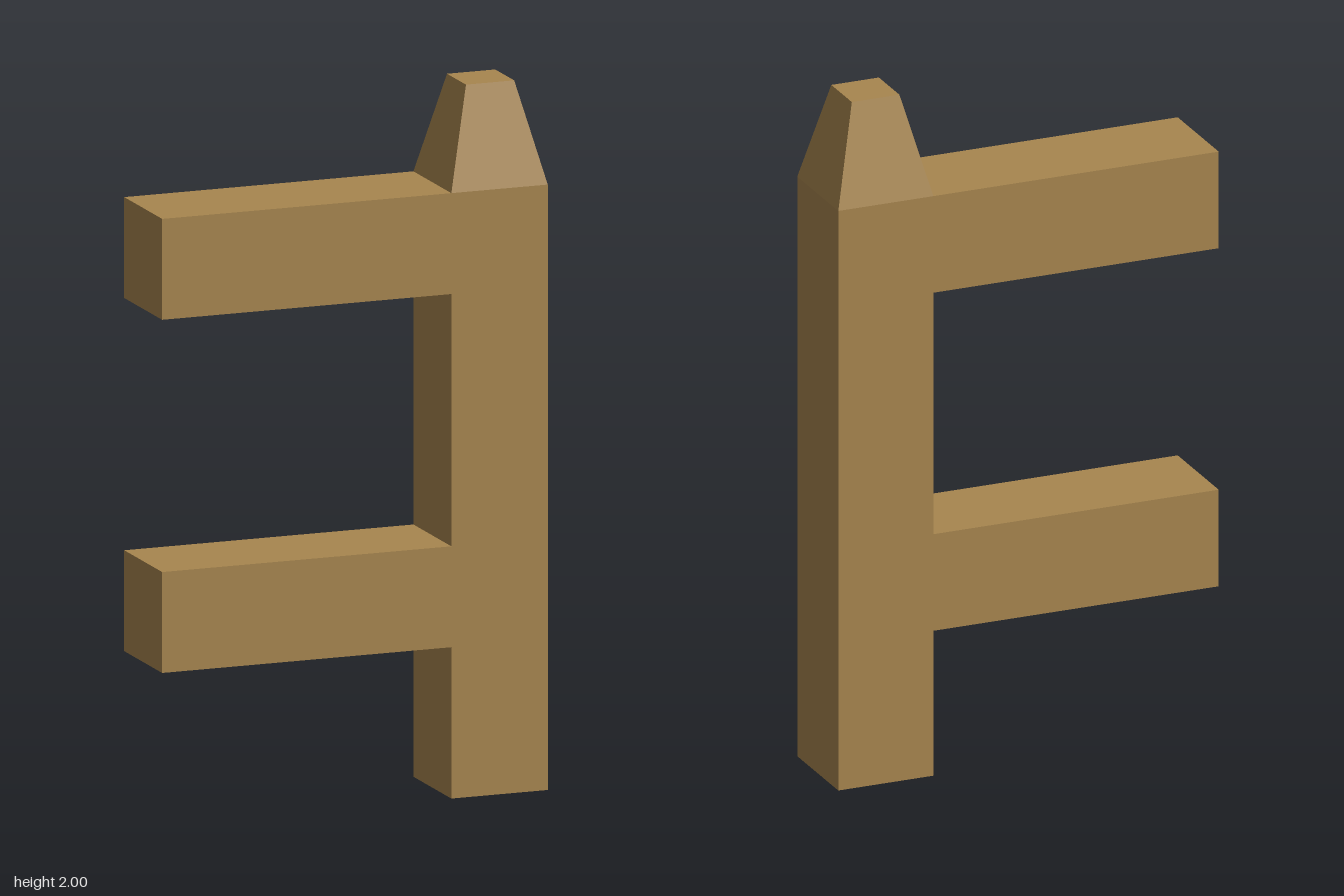
import * as THREE from 'three';

const U = 1 / 7; // half the timber thickness

export function createModel() {
  const group = new THREE.Group();
  group.name = 'fencePost';
  const wood = new THREE.MeshStandardMaterial({ color: 0xa8864f, flatShading: true });
  wood.name = 'wood';

  const add = (name, geometry, x, y) => {
    const mesh = new THREE.Mesh(geometry, wood);
    mesh.name = name;
    mesh.position.set(x, y, 0);
    group.add(mesh);
  };

  // Upright post
  add('post', new THREE.BoxGeometry(2 * U, 12 * U, 2 * U), 3 * U, 6 * U);

  // Tapered square tip with a flat top
  const tip = new THREE.CylinderGeometry(U * Math.SQRT1_2, U * Math.SQRT2, 2 * U, 4);
  tip.rotateY(Math.PI / 4);
  add('postTip', tip, 3 * U, 13 * U);

  // Two rails reaching out to one side
  const rail = new THREE.BoxGeometry(6 * U, 2 * U, 2 * U);
  add('lowerRail', rail, -U, 4 * U);
  add('upperRail', rail, -U, 11 * U);

  return group;
}
